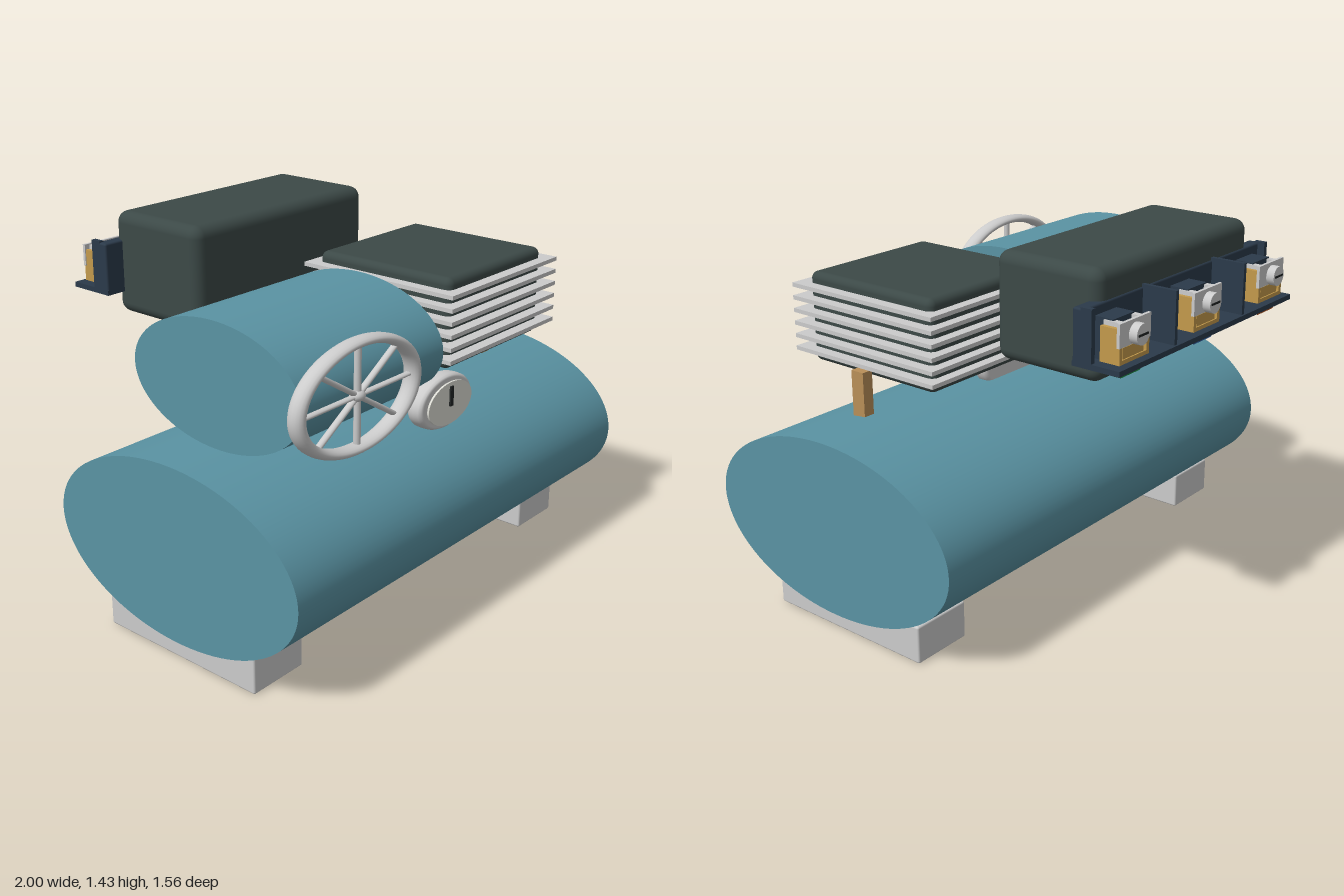
import * as THREE from 'three';
import { RoundedBoxGeometry } from 'three/addons/geometries/RoundedBoxGeometry.js';

const paint = (color) => new THREE.MeshStandardMaterial({ color });
const grey = paint(0xcccccc);
const teal = paint(0x5a93a3);
const dark = paint(0x3c4947);
const navy = paint(0x2b3a4a);
const gold = paint(0xc39a4c);
const brass = paint(0xb98f58);
const black = paint(0x202424);

function add(parent, name, geometry, material, x = 0, y = 0, z = 0) {
  const mesh = new THREE.Mesh(geometry, material);
  mesh.name = name;
  mesh.position.set(x, y, z);
  parent.add(mesh);
  return mesh;
}

// Box given by its limits, with optional rounded edges
function block(parent, name, material, [x0, x1], [y0, y1], [z0, z1], radius = 0) {
  const size = [x1 - x0, y1 - y0, z1 - z0];
  const geometry = radius ? new RoundedBoxGeometry(...size, 4, radius) : new THREE.BoxGeometry(...size);
  return add(parent, name, geometry, material, (x0 + x1) / 2, (y0 + y1) / 2, (z0 + z1) / 2);
}

// Elliptical drum lying along x
function drum(parent, name, [x0, x1], y, z, ry, rz) {
  const geometry = new THREE.CylinderGeometry(1, 1, x1 - x0, 96).rotateZ(Math.PI / 2);
  geometry.scale(1, ry, rz);
  return add(parent, name, geometry, teal, (x0 + x1) / 2, y, z);
}

function group(parent, name, x = 0, y = 0, z = 0) {
  const g = new THREE.Group();
  g.name = name;
  g.position.set(x, y, z);
  parent.add(g);
  return g;
}

// Oval handwheel facing +z
function handwheel(parent) {
  const wheel = group(parent, 'handwheel', -0.585, 1.03, 0.678);
  add(wheel, 'wheelRim', new THREE.TorusGeometry(0.303, 0.027, 16, 80).scale(1, 0.62, 1.25), grey);
  for (let i = 0; i < 4; i++) {
    const spoke = new THREE.CylinderGeometry(0.013, 0.013, 0.606, 12);
    spoke.rotateZ((i * Math.PI) / 4).scale(1, 0.62, 1);
    add(wheel, 'wheelSpoke', spoke, grey);
  }
  add(wheel, 'wheelHub', new THREE.SphereGeometry(0.032, 20, 12).scale(1, 0.65, 0.8), grey);
}

// Oval disc with a rounded edge, facing +z
function ovalDisc(parent, name, z) {
  const profile = [[0, -0.034], [0.145, -0.034], [0.156, -0.03], [0.163, -0.02], [0.165, 0],
    [0.163, 0.02], [0.156, 0.03], [0.145, 0.034], [0, 0.034]];
  const geometry = new THREE.LatheGeometry(profile.map((p) => new THREE.Vector2(...p)), 64);
  geometry.rotateX(Math.PI / 2).scale(1, 0.635, 1);
  return add(parent, name, geometry, grey, 0, 0.82, z);
}

// One screw clamp of the terminal strip, with its coloured tab below
function terminal(parent, x, tabColor) {
  const t = group(parent, 'terminal', x);
  block(t, 'clampBody', navy, [-0.06, 0.06], [1.14, 1.29], [-0.70, -0.61]);
  for (const s of [-1, 1]) {
    const side = s * 0.078;
    block(t, 'clampSide', gold, [side - 0.008, side + 0.008], [1.15, 1.27], [-0.745, -0.665]);
    block(t, 'clampCheek', grey, [s * 0.055 - 0.012, s * 0.055 + 0.012], [1.17, 1.285], [-0.735, -0.665]);
  }
  block(t, 'clampFoot', gold, [-0.086, 0.086], [1.145, 1.16], [-0.745, -0.665]);
  block(t, 'clampBridge', gold, [-0.06, 0.06], [1.16, 1.20], [-0.74, -0.70]);
  block(t, 'clampPlate', grey, [-0.09, 0.09], [1.205, 1.29], [-0.747, -0.735]);
  const shank = new THREE.CylinderGeometry(0.017, 0.017, 0.1, 16).rotateX(Math.PI / 2);
  add(t, 'screwShank', shank, grey, 0, 1.24, -0.7);
  for (let i = 0; i < 5; i++) {
    add(t, 'screwThread', new THREE.TorusGeometry(0.018, 0.005, 6, 20), grey, 0, 1.24, -0.665 - i * 0.015);
  }
  const head = new THREE.CylinderGeometry(0.038, 0.038, 0.032, 24).rotateX(Math.PI / 2);
  add(t, 'screwHead', head, grey, 0, 1.24, -0.763);
  block(t, 'screwSlot', black, [-0.028, 0.028], [1.236, 1.244], [-0.781, -0.775]);
  block(t, 'colourTab', paint(tabColor), [-0.06, 0.06], [1.09, 1.125], [-0.735, -0.69], 0.008);
}

function terminalStrip(parent) {
  const strip = group(parent, 'terminalStrip');
  block(strip, 'stripBack', navy, [-0.57, 0.57], [1.125, 1.325], [-0.625, -0.575], 0.008);
  block(strip, 'stripLedge', navy, [-0.57, 0.57], [1.12, 1.14], [-0.77, -0.575]);
  for (const s of [-1, 1]) {
    block(strip, 'divider', navy, [s * 0.225 - 0.008, s * 0.225 + 0.008], [1.13, 1.335], [-0.762, -0.61]);
    block(strip, 'endWall', navy, [s * 0.56 - 0.01, s * 0.56 + 0.01], [1.13, 1.33], [-0.655, -0.61]);
  }
  [0xc05a20, 0x3568b0, 0x1f9a48].forEach((color, i) => terminal(strip, (i - 1) * 0.45, color));
}

export function createModel() {
  const model = new THREE.Group();
  model.name = 'airCompressor';

  // Tank, feet and motor
  drum(model, 'tank', [-1, 1], 0.43, 0.195, 0.342, 0.585);
  block(model, 'leftFoot', grey, [0.705, 0.955], [0, 0.15], [-0.19, 0.545], 0.008);
  block(model, 'rightFoot', grey, [-0.965, -0.715], [0, 0.15], [-0.19, 0.545], 0.008);
  drum(model, 'motor', [-0.83, -0.06], 1.03, 0.255, 0.232, 0.395);

  // Finned pump head
  const pump = group(model, 'pump');
  block(pump, 'pumpHead', dark, [0.055, 0.675], [0.915, 1.268], [-0.035, 0.59], 0.028);
  for (let i = 0; i < 6; i++) {
    const y = 0.967 + i * 0.05;
    block(pump, 'coolingFin', grey, [0.01, 0.72], [y - 0.008, y + 0.008], [-0.075, 0.635]);
  }
  add(pump, 'outletPipe', new THREE.CylinderGeometry(0.028, 0.028, 0.11, 24), grey, 0.367, 0.883, 0.278);
  block(pump, 'brassPost', brass, [0.675, 0.722], [0.75, 0.943], [0.275, 0.335]);

  // Gauge and the matching disc behind it
  ovalDisc(model, 'gaugeBody', 0.599);
  const face = new THREE.CylinderGeometry(0.135, 0.135, 0.008, 64).rotateX(Math.PI / 2).scale(1, 0.61, 1);
  add(model, 'gaugeFace', face, paint(0xdcdcd4), 0, 0.82, 0.645);
  block(model, 'gaugeNeedle', black, [-0.009, 0.009], [0.81, 0.887], [0.646, 0.656]);
  ovalDisc(model, 'driveDisc', 0.196);

  handwheel(model);

  // Control box with terminals on its back
  block(model, 'controlBox', dark, [-0.485, 0.485], [1.03, 1.435], [-0.62, -0.165], 0.045);
  terminalStrip(model);
  return model;
}
